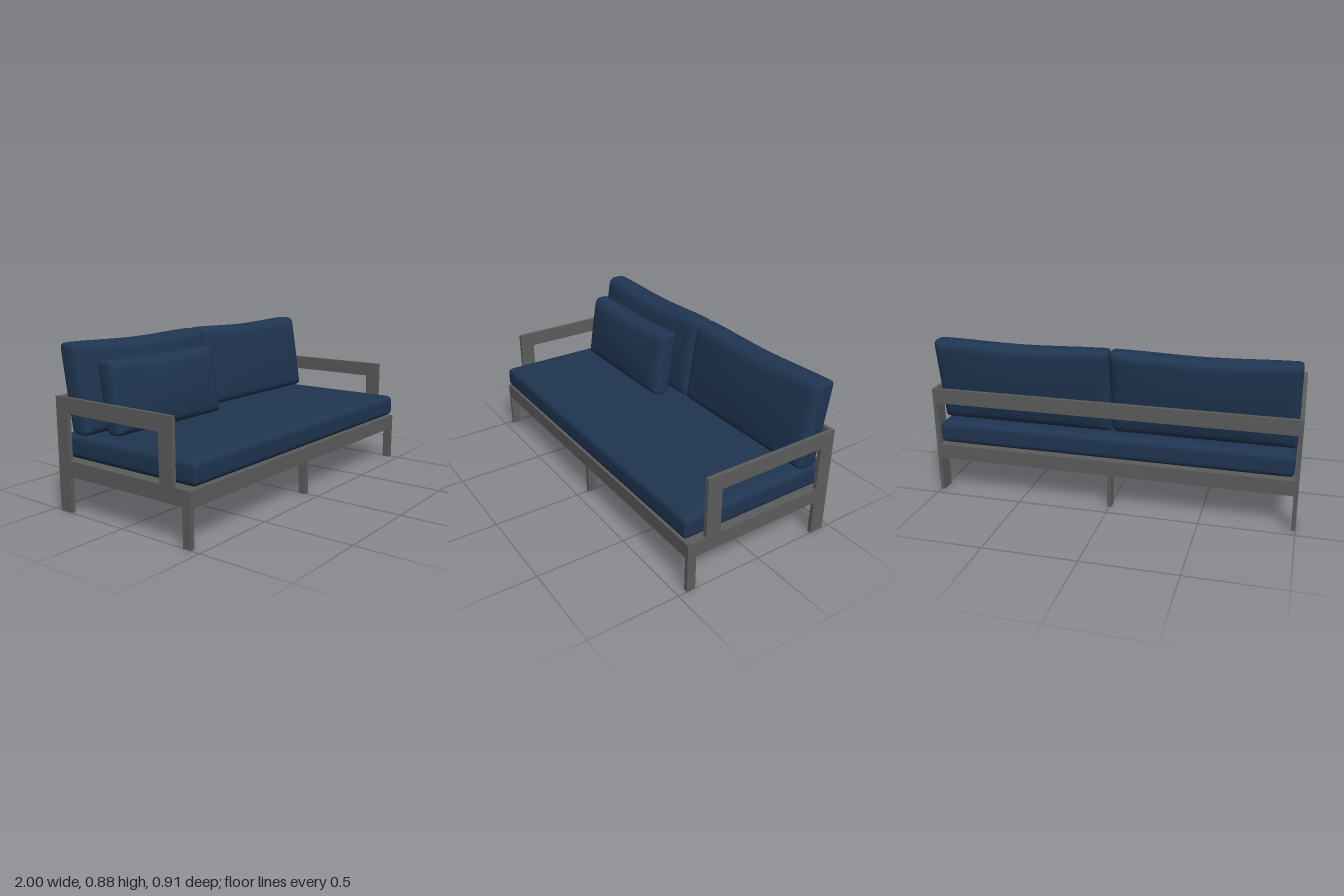
import * as THREE from 'three';
import { mergeVertices } from 'three/addons/utils/BufferGeometryUtils.js';

export function createModel() {
  const sofa = new THREE.Group();
  sofa.name = 'sofa';

  const metal = new THREE.MeshStandardMaterial({ color: 0x5c5c5c });
  metal.name = 'grey metal';
  const fabric = new THREE.MeshStandardMaterial({ color: 0x1f3551 });
  fabric.name = 'navy fabric';

  function add(name, geometry, material) {
    const mesh = new THREE.Mesh(geometry, material);
    mesh.name = name;
    sofa.add(mesh);
    return mesh;
  }

  // Box given by its limits on each axis
  function bar(name, x0, x1, y0, y1, z0, z1) {
    const mesh = add(name, new THREE.BoxGeometry(x1 - x0, y1 - y0, z1 - z0), metal);
    mesh.position.set((x0 + x1) / 2, (y0 + y1) / 2, (z0 + z1) / 2);
  }

  // Soft box with rounded rims but nearly square corners, puffed on one axis and leaning back
  function cushion(name, { half, radius, center, puffAxis, puff, lean = 0, wave = 0 }) {
    let geo = new THREE.BoxGeometry(2, 2, 2, 32, 24, 24);
    geo.deleteAttribute('normal');
    geo.deleteAttribute('uv');
    geo = mergeVertices(geo, 1e-4);
    const pos = geo.attributes.position;
    const h = new THREE.Vector3(...half);
    const inner = h.clone().subScalar(radius);
    const innerMin = inner.clone().negate();
    const [a, b] = ['x', 'y', 'z'].filter((axis) => axis !== puffAxis);
    const p = new THREE.Vector3();
    const q = new THREE.Vector3();
    for (let i = 0; i < pos.count; i++) {
      p.fromBufferAttribute(pos, i);
      // Crowd the grid towards the edges, then round them
      p.set(...p.toArray().map((t) => Math.sin((t * Math.PI) / 2))).multiply(h);
      q.copy(p).clamp(innerMin, inner);
      p.sub(q);
      const rim = Math.pow(Math.abs(p[a]) ** 5 + Math.abs(p[b]) ** 5, 0.2);
      p.multiplyScalar(radius / Math.hypot(rim, p[puffAxis])).add(q);
      const n = p.clone().divide(h);
      p[puffAxis] += n[puffAxis] * puff * (1 - n[a] ** 2) * (1 - n[b] ** 2);
      p.y += wave * Math.max(n.y, 0) * Math.cos(n.x * Math.PI);
      p.z -= lean * p.y;
      pos.setXYZ(i, p.x, p.y, p.z);
    }
    geo.computeVertexNormals();
    add(name, geo, fabric).position.set(...center);
  }

  // Flat side frames: legs, seat rail, armrest and rear post in one plate (profile x is -z)
  const side = new THREE.Shape([
    [-0.45, 0], [-0.4, 0], [-0.4, 0.197], [0.37, 0.197], [0.37, 0], [0.455, 0],
    [0.455, 0.61], [-0.345, 0.61], [-0.345, 0.28], [-0.45, 0.28],
  ].map(([x, y]) => new THREE.Vector2(x, y)));
  side.holes.push(new THREE.Path([
    [-0.26, 0.28], [-0.26, 0.527], [0.37, 0.527], [0.37, 0.28],
  ].map(([x, y]) => new THREE.Vector2(x, y))));
  const sideGeo = new THREE.ExtrudeGeometry(side, { depth: 0.022, bevelEnabled: false });
  sideGeo.rotateY(Math.PI / 2);
  add('leftSideFrame', sideGeo, metal).position.x = 0.978;
  add('rightSideFrame', sideGeo, metal).position.x = -1;

  // Rails and the seat panel set between them
  bar('frontRail', -0.978, 0.978, 0.197, 0.28, 0.428, 0.45);
  bar('rearRail', -0.978, 0.978, 0.197, 0.28, -0.455, -0.433);
  bar('backrestRail', -0.978, 0.978, 0.527, 0.61, -0.455, -0.435);
  bar('seatPanel', -0.978, 0.978, 0.265, 0.279, -0.433, 0.428);

  // Centre legs, tucked behind the rails
  bar('frontCentreLeg', -0.012, 0.012, 0, 0.265, 0.38, 0.428);
  bar('rearCentreLeg', -0.012, 0.012, 0, 0.265, -0.433, -0.385);

  // Seat cushion
  cushion('seatCushion', {
    half: [0.975, 0.065, 0.45], radius: 0.035, center: [0, 0.351, 0.005],
    puffAxis: 'y', puff: 0.004,
  });

  // Two back cushions
  for (const s of [-1, 1]) {
    cushion(s > 0 ? 'leftBackCushion' : 'rightBackCushion', {
      half: [0.488, 0.23, 0.07], radius: 0.048, center: [s * 0.49, 0.646, -0.35],
      puffAxis: 'z', puff: 0.018, lean: 0.16, wave: -0.006,
    });
  }

  // Loose pillow
  cushion('loosePillow', {
    half: [0.4, 0.187, 0.06], radius: 0.045, center: [-0.493, 0.607, -0.187],
    puffAxis: 'z', puff: 0.026, lean: 0.16, wave: -0.004,
  });

  return sofa;
}
